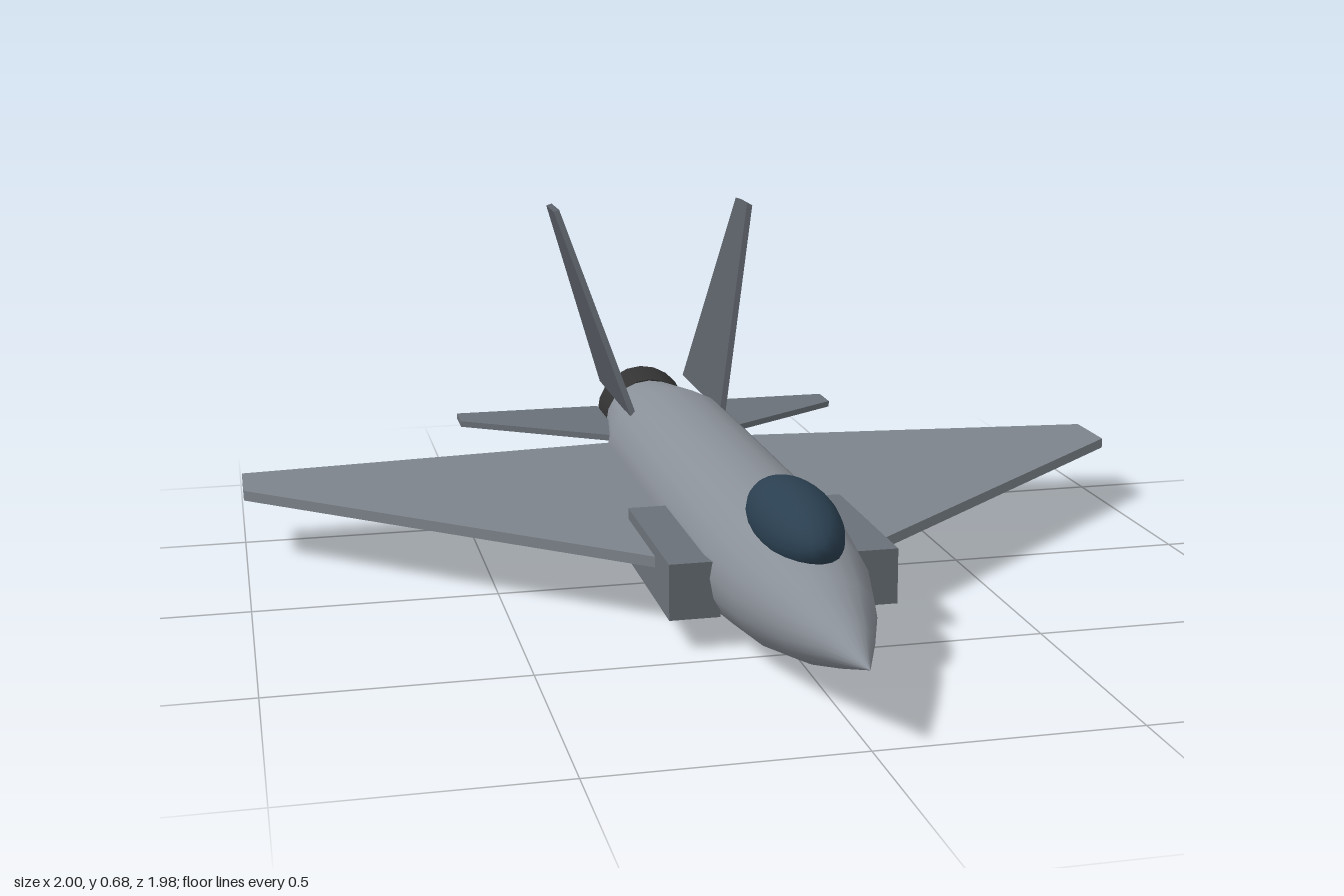
import * as THREE from 'three';

const mat = (color) => new THREE.MeshStandardMaterial({ color });
const skin = mat(0x8a9098);
const wingPaint = mat(0x7d848b);
const panelPaint = mat(0x6a7178);
const finPaint = mat(0x5a5e66);
const glass = mat(0x2a3f50);
const burnt = mat(0x333333);

// Flat plate from an outline, centred on its own thickness
function plate(outline, thickness) {
  const shape = new THREE.Shape(outline.map(([a, b]) => new THREE.Vector2(a, b)));
  const geo = new THREE.ExtrudeGeometry(shape, { depth: thickness, bevelEnabled: false });
  return geo.translate(0, 0, -thickness / 2);
}

// Horizontal plate; outline is given as [x, z], mirrored by side
function surface(outline, side, thickness) {
  return plate(outline.map(([x, z]) => [x * side, -z]), thickness).rotateX(-Math.PI / 2);
}

export function createModel() {
  const group = new THREE.Group();
  const add = (name, geometry, material, x = 0, y = 0, z = 0) => {
    const mesh = new THREE.Mesh(geometry, material);
    mesh.name = name;
    mesh.position.set(x, y, z);
    group.add(mesh);
    return mesh;
  };

  // Fuselage: turned profile [radius, z], slightly wider than tall
  const profile = [
    [0.096, -0.89], [0.138, -0.6], [0.139, -0.1], [0.138, 0.38],
    [0.118, 0.56], [0.083, 0.725], [0.042, 0.86], [0, 0.985],
  ].map(([r, z]) => new THREE.Vector2(r, z));
  const body = new THREE.LatheGeometry(profile, 20).rotateX(Math.PI / 2).scale(1.12, 1, 1);
  add('fuselage', body, skin, 0, 0.14, 0);

  // Canopy: lower part of the ellipsoid is cut off inside the fuselage
  const dome = new THREE.SphereGeometry(1, 24, 14, 0, Math.PI * 2, 0, Math.PI * 0.6);
  add('canopy', dome.scale(0.08, 0.077, 0.205), glass, 0, 0.26, 0.493);

  // Exhaust nozzle, flaring towards the rear
  const nozzle = new THREE.CylinderGeometry(0.1, 0.111, 0.11, 20).rotateX(Math.PI / 2);
  add('exhaustNozzle', nozzle, burnt, 0, 0.14, -0.94);

  for (const side of [1, -1]) {
    const label = side > 0 ? 'left' : 'right';

    const wing = [[0.1, 0.41], [1, -0.39], [1, -0.54], [0.1, -0.631]];
    add(label + 'Wing', surface(wing, side, 0.022), wingPaint, 0, 0.139, 0);

    const tail = [[0.115, -0.655], [0.468, -0.895], [0.468, -0.98], [0.115, -0.98]];
    add(label + 'Tailplane', surface(tail, side, 0.014), panelPaint, 0, 0.15, 0);

    add(label + 'Intake', new THREE.BoxGeometry(0.1, 0.112, 0.406), panelPaint, side * 0.178, 0.117, 0.224);

    // Canted fin; outline is [-z, height]
    const fin = [[0.54, 0], [0.95, 0], [0.92, 0.468], [0.805, 0.468]];
    const finGeo = plate(fin, 0.014).rotateY(Math.PI / 2).scale(1, 1, 1);
    const mesh = add(label + 'Fin', finGeo, finPaint, side * 0.106, 0.23, 0);
    mesh.rotation.z = -side * 0.283;
  }
  // rotateY maps the outline's first axis to -z, so fins sit at the rear
  return group;
}
